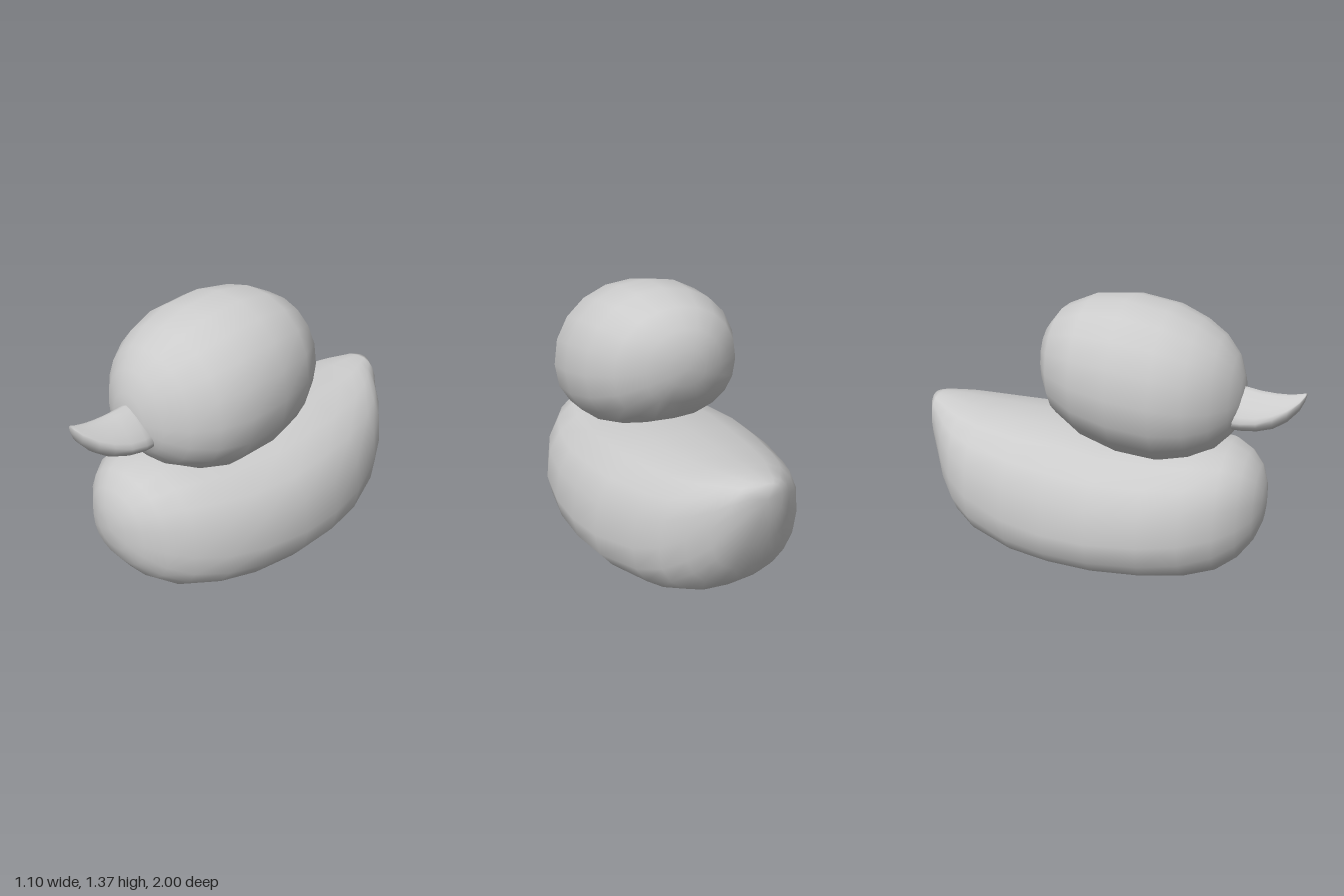
import * as THREE from 'three';
import { mergeVertices } from 'three/addons/utils/BufferGeometryUtils.js';

const SIDES = 20;

// Skin over cross-sections running back to front.
// Each row: [z, half width, bottom y, y of widest point, top y]
function loft(rows, lowerPower, upperPower) {
  const positions = [];
  const index = [];
  rows.forEach(([z, w, bottom, middle, top], i) => {
    for (let j = 0; j < SIDES; j++) {
      const a = (j / SIDES) * Math.PI * 2;
      const c = Math.cos(a);
      const s = Math.sin(a);
      const e = 2 / (s > 0 ? upperPower : lowerPower);
      const height = s > 0 ? top - middle : middle - bottom;
      positions.push(
        w * Math.sign(c) * Math.abs(c) ** e,
        middle + height * Math.sign(s) * Math.abs(s) ** e,
        z
      );
      if (i < rows.length - 1) {
        const k = (j + 1) % SIDES;
        const p = i * SIDES;
        const q = p + SIDES;
        if (i > 0) index.push(p + j, p + k, q + j);
        if (i < rows.length - 2) index.push(p + k, q + k, q + j);
        else index.push(p + k, q + j, q + j);
      }
    }
  });
  const geometry = new THREE.BufferGeometry();
  geometry.setAttribute('position', new THREE.Float32BufferAttribute(positions, 3));
  geometry.setIndex(index);
  const merged = mergeVertices(geometry);
  merged.computeVertexNormals();
  return merged;
}

export function createModel() {
  const duck = new THREE.Group();
  duck.name = 'duck';
  const material = new THREE.MeshStandardMaterial({ color: 0xcccccc });
  const add = (name, geometry) => {
    const mesh = new THREE.Mesh(geometry, material);
    mesh.name = name;
    duck.add(mesh);
  };

  // Body with a raised tail, rounded at the chest
  add('body', loft([
    [-1.0, 0, 0.71, 0.71, 0.71],
    [-0.985, 0.08, 0.59, 0.69, 0.775],
    [-0.95, 0.14, 0.47, 0.64, 0.78],
    [-0.89, 0.2, 0.32, 0.56, 0.78],
    [-0.82, 0.28, 0.21, 0.49, 0.778],
    [-0.73, 0.355, 0.12, 0.42, 0.77],
    [-0.6, 0.425, 0.055, 0.36, 0.76],
    [-0.35, 0.51, 0.012, 0.31, 0.745],
    [-0.13, 0.543, 0.002, 0.285, 0.735],
    [0.1, 0.552, 0, 0.28, 0.7],
    [0.34, 0.525, 0.008, 0.29, 0.685],
    [0.52, 0.465, 0.025, 0.3, 0.685],
    [0.66, 0.385, 0.06, 0.32, 0.67],
    [0.75, 0.295, 0.12, 0.34, 0.625],
    [0.81, 0.2, 0.2, 0.36, 0.56],
    [0.84, 0.11, 0.28, 0.38, 0.48],
    [0.853, 0, 0.38, 0.38, 0.38],
  ], 2.4, 2.4));

  // Egg-shaped head leaning forward
  add('head', loft([
    [-0.3, 0, 1.04, 1.04, 1.04],
    [-0.29, 0.1, 0.95, 1.04, 1.13],
    [-0.26, 0.2, 0.86, 1.03, 1.22],
    [-0.18, 0.325, 0.75, 1.01, 1.305],
    [-0.03, 0.41, 0.66, 0.98, 1.362],
    [0.16, 0.447, 0.6, 0.95, 1.37],
    [0.36, 0.44, 0.58, 0.92, 1.33],
    [0.5, 0.385, 0.61, 0.9, 1.265],
    [0.6, 0.3, 0.66, 0.89, 1.195],
    [0.67, 0.2, 0.73, 0.89, 1.11],
    [0.705, 0.11, 0.81, 0.89, 1.01],
    [0.72, 0, 0.91, 0.91, 0.91],
  ], 2.3, 2.1));

  // Ridged beak with an upturned tip
  add('beak', loft([
    [0.58, 0, 0.85, 0.85, 0.85],
    [0.62, 0.145, 0.755, 0.82, 0.965],
    [0.72, 0.15, 0.753, 0.815, 0.957],
    [0.79, 0.143, 0.757, 0.82, 0.943],
    [0.86, 0.12, 0.772, 0.84, 0.937],
    [0.92, 0.092, 0.81, 0.87, 0.937],
    [0.97, 0.052, 0.865, 0.91, 0.944],
    [0.99, 0.022, 0.91, 0.935, 0.95],
    [1.0, 0, 0.95, 0.95, 0.95],
  ], 2.1, 1.4));

  return duck;
}
